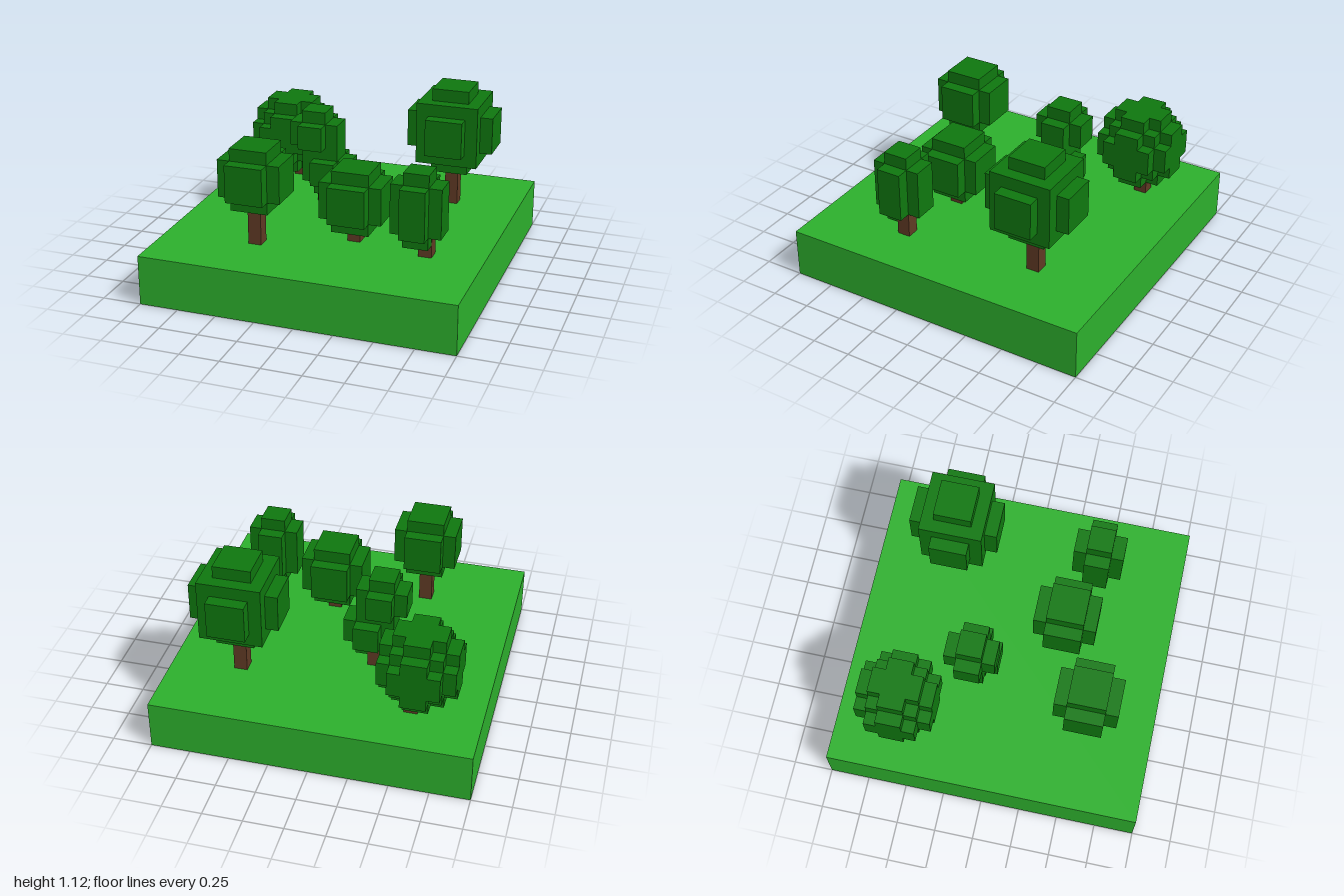
import * as THREE from 'three';
import { mergeGeometries } from 'three/addons/utils/BufferGeometryUtils.js';

const U = 0.08;          // size of one block
const GROUND = 4 * U;    // height of the ground slab

function material(name, color) {
  const m = new THREE.MeshStandardMaterial({ color });
  m.name = name;
  return m;
}

// Every distinct ordering of three block counts
function orders([a, b, c]) {
  const all = [[a, b, c], [a, c, b], [b, a, c], [b, c, a], [c, a, b], [c, b, a]];
  return [...new Map(all.map(o => [o.join(), o])).values()];
}

// Blocky balls by diameter: crossing boxes, measured in blocks
const BALLS = {
  4: [[4, 2, 2]],
  5: [[5, 3, 3]],
  6: [[4, 4, 4], [6, 4, 2]],
  7: [[5, 5, 5], [7, 3, 3]],
};

function ball([diameter, x, y, z]) {
  return BALLS[diameter].flatMap(orders).map(([w, h, d]) =>
    new THREE.BoxGeometry(w * U, h * U, d * U).translate(x, y, z));
}

// trunk: centre x, z and top; balls: diameter and centre
const TREES = [
  { name: 'tallTree', trunk: [0.56, -0.48, 0.56], balls: [[7, 0.56, 0.84, -0.48]] },
  { name: 'slimTree', trunk: [0.64, 0.40, 0.48], balls: [[4, 0.6, 0.56, 0.44], [4, 0.6, 0.72, 0.44]] },
  { name: 'frontTree', trunk: [-0.40, 0.56, 0.56], balls: [[5, -0.4, 0.76, 0.56]] },
  { name: 'lowTree', trunk: [0.16, 0.32, 0.40], balls: [[5, 0.16, 0.6, 0.32]] },
  { name: 'stackedTree', trunk: [-0.24, -0.24, 0.48], balls: [[4, -0.2, 0.56, -0.2], [4, -0.28, 0.8, -0.2]] },
  { name: 'bushyTree', trunk: [-0.56, -0.64, 0.48], balls: [[6, -0.6, 0.64, -0.6]] },
];

export function createModel() {
  const grass = material('grass green', 0x2db02d);
  const leaf = material('leaf green', 0x0f780f);
  const bark = material('bark brown', 0x603a24);

  const model = new THREE.Group();
  model.name = 'grove';

  // Ground slab
  const ground = new THREE.Mesh(new THREE.BoxGeometry(2, GROUND, 2), grass);
  ground.name = 'ground';
  ground.position.y = GROUND / 2;
  model.add(ground);

  for (const { name, trunk: [x, z, top], balls } of TREES) {
    const tree = new THREE.Group();
    tree.name = name;

    // Trunk, a hair wider than a block so it shows through the leaves it meets
    const height = top - GROUND;
    const trunk = new THREE.Mesh(new THREE.BoxGeometry(U + 0.004, height, U + 0.004), bark);
    trunk.name = 'trunk';
    trunk.position.set(x, GROUND + height / 2, z);

    // Leaf crown
    const crown = new THREE.Mesh(mergeGeometries(balls.flatMap(ball)), leaf);
    crown.name = 'crown';

    tree.add(trunk, crown);
    model.add(tree);
  }
  return model;
}
